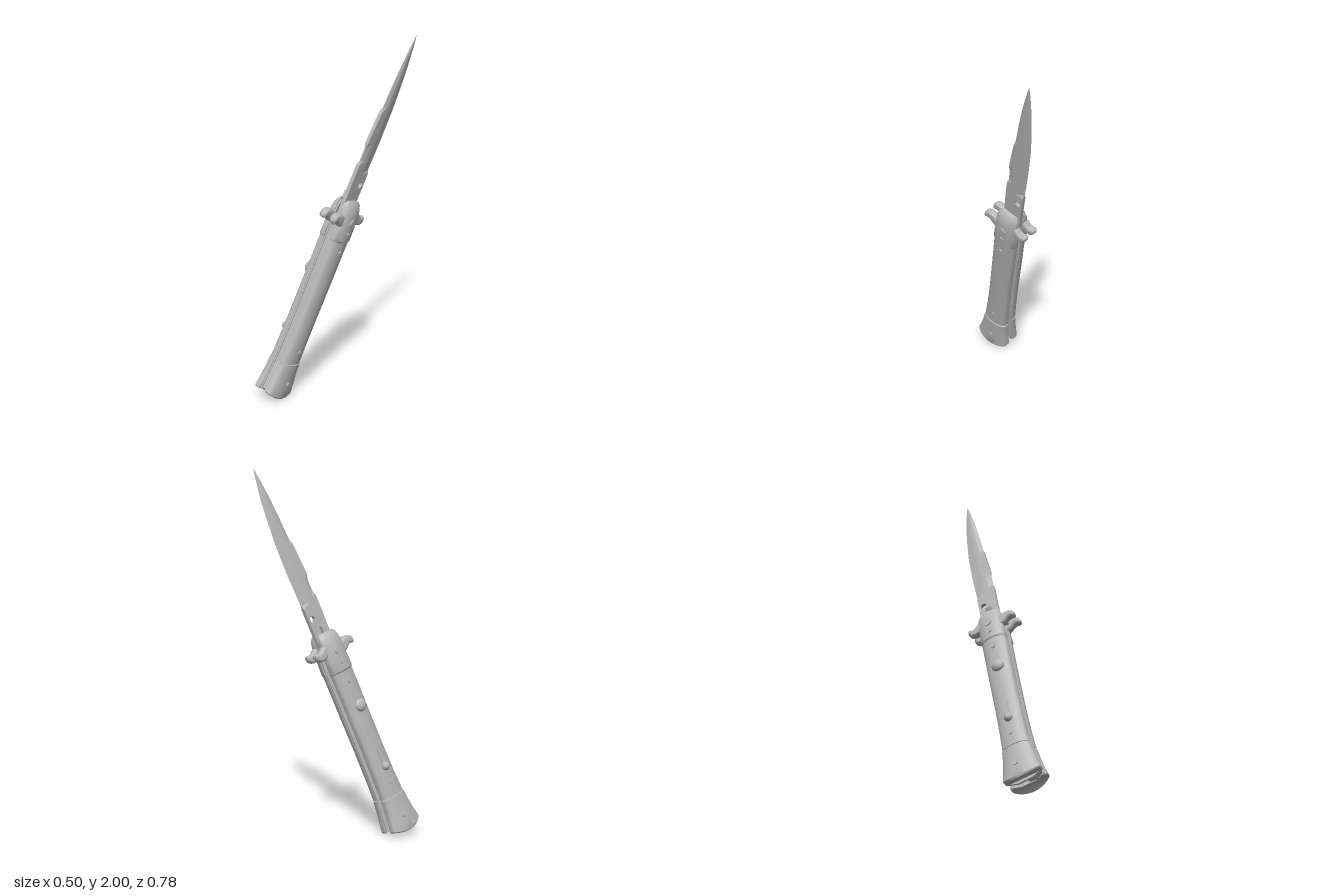
import * as THREE from 'three';
import { toCreasedNormals } from 'three/addons/utils/BufferGeometryUtils.js';

// Local frame: x = thickness, y = along the knife (tip at 0), z = width.
const MID = 0.012;

// Skin closed rings of [x, y, z] points, bottom to top, with end caps.
function loft(rings, crease = 0.6) {
  const n = rings[0].length, pos = [];
  const tri = (a, b, c) => pos.push(...a, ...b, ...c);
  for (let j = 0; j < rings.length - 1; j++) {
    for (let i = 0; i < n; i++) {
      const k = (i + 1) % n, p = rings[j], q = rings[j + 1];
      tri(p[i], q[i], p[k]);
      tri(p[k], q[i], q[k]);
    }
  }
  const centre = r => [0, 1, 2].map(c => r.reduce((sum, p) => sum + p[c], 0) / n);
  const first = rings[0], last = rings[rings.length - 1];
  const c0 = centre(first), c1 = centre(last);
  for (let i = 0; i < n; i++) {
    const k = (i + 1) % n;
    tri(c0, first[i], first[k]);
    tri(c1, last[k], last[i]);
  }
  const g = new THREE.BufferGeometry();
  g.setAttribute('position', new THREE.Float32BufferAttribute(pos, 3));
  return toCreasedNormals(g, crease);
}

// Domed half of the handle; stations are [y, low z, high z, half thickness, end curve].
function halfHandle(stations, side) {
  const N = 16;
  return loft(stations.map(([y, lo, hi, T, bow = 0]) => {
    const ring = [], m = (lo + hi) / 2, h = (hi - lo) / 2, rim = T * 0.6;
    for (let i = 0; i <= N; i++) {
      const v = -Math.cos(Math.PI * i / N);
      const x = rim + (T - rim) * Math.pow(Math.max(0, 1 - v * v), 0.65);
      ring.push([side * x, y + bow * v * v, m + h * v]);
    }
    ring.push([side * 0.021, y + bow, hi], [side * 0.021, y + bow, lo]);
    return side > 0 ? ring : ring.reverse();
  }));
}

// Flat plate from a shape drawn in (z, y), centred on x = 0.
function plate(shape, depth, bevel = 0) {
  const g = new THREE.ExtrudeGeometry(shape, {
    depth: depth - 2 * bevel, bevelEnabled: bevel > 0, bevelSize: bevel,
    bevelThickness: bevel, bevelOffset: -bevel, bevelSegments: 4, curveSegments: 14,
  });
  g.translate(0, 0, -depth / 2 + bevel);
  g.rotateY(-Math.PI / 2);
  return bevel ? toCreasedNormals(g, 0.8) : g;
}

const polygon = pts => new THREE.Shape(pts.map(p => new THREE.Vector2(...p)));

export function createModel() {
  const group = new THREE.Group();
  const steel = new THREE.MeshStandardMaterial({ color: 0xb8b8b8 });
  steel.name = 'grey steel';
  const add = (name, geo, x = 0, y = 0, z = 0) => {
    const m = new THREE.Mesh(geo, steel);
    m.name = name;
    m.position.set(x, y, z);
    group.add(m);
    return m;
  };

  // Handle halves: butt cap, grip scale and top bolster on both sides
  const butt = [
    [-2.133, -0.082, 0.119, 0.076, 0.024], [-2.125, -0.086, 0.123, 0.081, 0.022],
    [-2.06, -0.078, 0.110, 0.079, 0.008], [-1.99, -0.068, 0.099, 0.076, 0], [-1.926, -0.063, 0.092, 0.075],
  ];
  const grip = [
    [-1.92, -0.060, 0.089, 0.072], [-1.8, -0.057, 0.083, 0.071], [-1.64, -0.056, 0.080, 0.071],
    [-1.4, -0.058, 0.080, 0.071], [-1.173, -0.059, 0.082, 0.070],
  ];
  const bolster = [
    [-1.174, -0.060, 0.083, 0.069], [-1.166, -0.063, 0.086, 0.075], [-1.1, -0.060, 0.083, 0.076],
    [-1.02, -0.057, 0.081, 0.073], [-0.985, -0.054, 0.079, 0.066],
    [-0.96, -0.049, 0.074, 0.056], [-0.943, -0.036, 0.060, 0.043],
  ];
  const guard = new THREE.Shape();
  guard.moveTo(0.04, -1.028);
  guard.bezierCurveTo(0.09, -1.02, 0.10, -1.012, 0.125, -1.013);
  guard.bezierCurveTo(0.15, -1.014, 0.168, -1.04, 0.158, -1.062);
  guard.bezierCurveTo(0.15, -1.072, 0.14, -1.06, 0.125, -1.062);
  guard.bezierCurveTo(0.11, -1.065, 0.10, -1.086, 0.075, -1.087);
  guard.lineTo(0.04, -1.085);

  const liner = polygon([
    [-0.078, -2.105], [-0.02, -2.125], [0.06, -2.125], [0.113, -2.105], [0.085, -1.92], [0.077, -1.64],
    [0.079, -1.17], [0.076, -0.99], [0.06, -0.955], [-0.035, -0.955], [-0.053, -0.99], [-0.055, -1.17],
    [-0.053, -1.64], [-0.058, -1.92],
  ]);

  for (const side of [1, -1]) {
    const label = side > 0 ? 'left' : 'right';
    add(label + 'ButtCap', halfHandle(butt, side));
    add(label + 'GripScale', halfHandle(grip, side));
    add(label + 'TopBolster', halfHandle(bolster, side));
    add(label + 'Liner', plate(liner, 0.01), side * 0.0175);

    // Guards curl opposite ways on the two edges
    add(label + 'FrontGuard', plate(guard, 0.042, 0.014), side * 0.035);
    const back = add(label + 'BackGuard', plate(guard, 0.042, 0.014), side * 0.035, -2.09, 0.036);
    back.rotation.x = Math.PI;

    // Rivets and blade pivot
    for (const [y, r, T] of [[-2.043, 0.015, 0.079], [-1.843, 0.015, 0.072], [-1.235, 0.015, 0.071],
      [-1.121, 0.014, 0.076], [-1.057, 0.024, 0.075]]) {
      const pin = new THREE.CylinderGeometry(r * 0.85, r, 0.02, 20);
      pin.rotateZ(-side * Math.PI / 2);
      add(r > 0.02 ? 'pivot' : 'rivet', pin, side * (T - 0.006), y, MID);
    }
  }

  // Back spring filling the front edge of the handle
  add('backSpring', plate(polygon([
    [0.03, -2.12], [0.075, -2.12], [0.105, -2.1], [0.079, -1.92], [0.072, -1.64],
    [0.074, -1.1], [0.03, -1.1],
  ]), 0.026));

  // Cross bar joining the front guards
  const bar = new THREE.CylinderGeometry(0.009, 0.009, 0.07, 12);
  bar.rotateZ(Math.PI / 2);
  add('crossBar', bar, 0, -1.045, 0.088);

  // Firing button, safety slide and its track
  const button = new THREE.SphereGeometry(1, 24, 16);
  button.scale(0.022, 0.036, 0.036);
  add('button', button, -0.071, -1.382, 0.018);
  add('slideTrack', new THREE.BoxGeometry(0.008, 0.13, 0.024), -0.069, -1.69, 0.017);
  const slide = new THREE.SphereGeometry(1, 20, 12);
  slide.scale(0.022, 0.024, 0.022);
  add('safetySlide', slide, -0.074, -1.749, 0.018);

  // Ridged release tab at the mouth of the handle
  add('releaseTab', new THREE.BoxGeometry(0.018, 0.06, 0.03), -0.026, -0.935, 0.014);
  for (let i = 0; i < 4; i++) {
    add('releaseRidge', new THREE.BoxGeometry(0.024, 0.005, 0.032), -0.028, -0.938 + i * 0.009, 0.014);
  }

  // Blade root with its lock hole
  const root = polygon([[-0.047, -1.09], [0.06, -1.09], [0.062, -0.94], [0.063, -0.79], [-0.05, -0.79], [-0.048, -0.94]]);
  const hole = new THREE.Path();
  hole.absarc(-0.02, -0.855, 0.017, 0, Math.PI * 2, true);
  root.holes.push(hole);
  add('bladeRoot', plate(root, 0.022));

  // Ground blade: [y, cutting edge, spine, half thickness, spine half width, edge half width]
  const blade = [
    [-0.79, -0.05, 0.063, 0.011, 0.011, 0.011], [-0.765, -0.051, 0.063, 0.011, 0.011, 0.001],
    [-0.74, -0.052, 0.062, 0.011, 0.010, 0.001], [-0.72, -0.053, 0.058, 0.011, 0.003, 0.001],
    [-0.65, -0.055, 0.058, 0.011, 0.003, 0.001], [-0.62, -0.056, 0.061, 0.011, 0.010, 0.001],
    [-0.58, -0.057, 0.059, 0.011, 0.010, 0.001], [-0.44, -0.056, 0.047, 0.011, 0.010, 0.001],
    [-0.41, -0.055, 0.042, 0.011, 0.002, 0.001], [-0.28, -0.045, 0.034, 0.010, 0.002, 0.001],
    [-0.17, -0.033, 0.025, 0.008, 0.001, 0.001], [-0.07, -0.016, 0.012, 0.005, 0.001, 0.0007],
    [0, -0.0008, 0.0008, 0.0005, 0.0003, 0.0003],
  ];
  add('blade', loft(blade.map(([y, lo, hi, T, b, e]) => {
    const u1 = lo + 0.5 * (hi - lo), u2 = lo + 0.76 * (hi - lo);
    return [[e, y, lo], [T, y, u1], [T, y, u2], [b, y, hi], [-b, y, hi], [-T, y, u2], [-T, y, u1], [-e, y, lo]];
  }), 0.1));

  // Lean the whole knife
  const along = new THREE.Vector3(0.213, 1, -0.335).normalize();
  const wide = new THREE.Vector3(0.15, 0.303, 1);
  const thick = new THREE.Vector3().crossVectors(along, wide).normalize();
  wide.crossVectors(thick, along);
  group.quaternion.setFromRotationMatrix(new THREE.Matrix4().makeBasis(thick, along, wide));
  group.position.set(0.248, 2, -0.385);

  const model = new THREE.Group();
  model.name = 'foldingKnife';
  model.add(group);
  return model;
}
